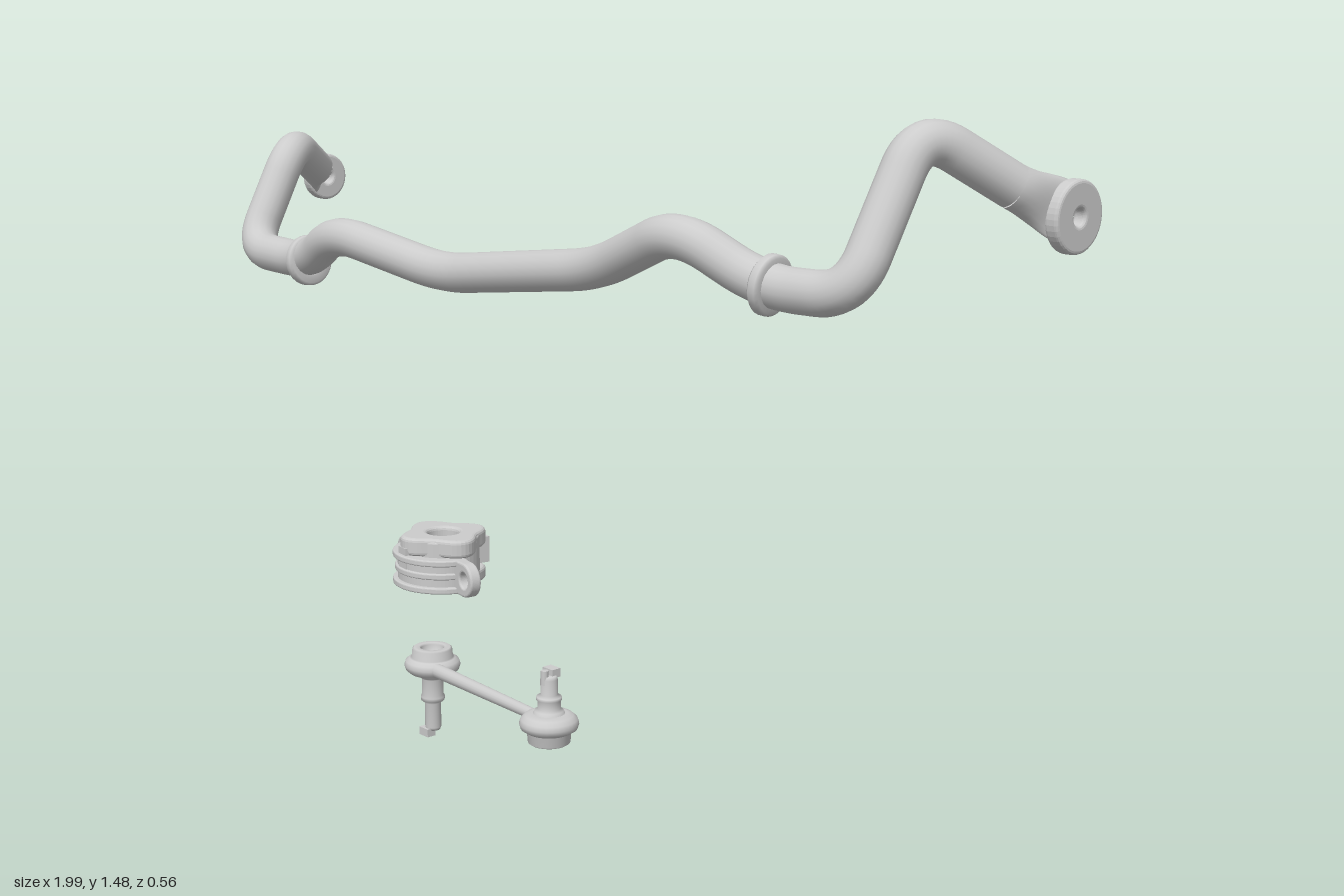
import * as THREE from 'three';

const material = new THREE.MeshStandardMaterial({ color: 0xcccccc, side: THREE.DoubleSide });
const V = (x, y, z) => new THREE.Vector3(x, y, z);

function add(parent, name, geometry, x = 0, y = 0, z = 0) {
  const mesh = new THREE.Mesh(geometry, material);
  mesh.name = name;
  mesh.position.set(x, y, z);
  parent.add(mesh);
  return mesh;
}

// Straight runs joined by rounded bends
function bentPath(points, bend) {
  const path = new THREE.CurvePath();
  let last = points[0];
  for (let i = 1; i < points.length - 1; i++) {
    const p = points[i], a = points[i - 1], b = points[i + 1];
    const start = p.clone().lerp(a, Math.min(0.45, bend / p.distanceTo(a)));
    const end = p.clone().lerp(b, Math.min(0.45, bend / p.distanceTo(b)));
    path.add(new THREE.LineCurve3(last, start));
    path.add(new THREE.QuadraticBezierCurve3(start, p, end));
    last = end;
  }
  path.add(new THREE.LineCurve3(last, points[points.length - 1]));
  return path;
}

// Round tube flattening into a blade that is thin along x
function flattenedNeck(from, to, radius, halfThick, halfWide) {
  const rings = 8, sides = 20, positions = [], index = [];
  const d = to.clone().sub(from).normalize(), xAxis = V(1, 0, 0);
  const n0 = xAxis.clone().addScaledVector(d, -d.x).normalize();
  for (let i = 0; i <= rings; i++) {
    const t = i / rings, s = t * t * (3 - 2 * t);
    const c = from.clone().lerp(to, t);
    const n = n0.clone().lerp(xAxis, s).normalize();
    const v = d.clone().cross(n).normalize();
    const a = THREE.MathUtils.lerp(radius, halfThick, s);
    const b = THREE.MathUtils.lerp(radius, halfWide, s);
    for (let j = 0; j < sides; j++) {
      const q = (j / sides) * Math.PI * 2;
      const p = c.clone().addScaledVector(n, a * Math.cos(q)).addScaledVector(v, b * Math.sin(q));
      positions.push(p.x, p.y, p.z);
      if (i < rings) {
        const k = i * sides, j2 = (j + 1) % sides;
        index.push(k + j, k + j2, k + sides + j, k + j2, k + sides + j2, k + sides + j);
      }
    }
  }
  const g = new THREE.BufferGeometry();
  g.setAttribute('position', new THREE.Float32BufferAttribute(positions, 3));
  g.setIndex(index);
  g.computeVertexNormals();
  return g;
}

function hole(shape, x, y, r) {
  shape.holes.push(new THREE.Path().absarc(x, y, r, 0, Math.PI * 2, true));
  return shape;
}

// Extrusion centred on its depth, with a small rounded edge
function slab(shape, depth, bevel) {
  const g = new THREE.ExtrudeGeometry(shape, {
    depth: depth - 2 * bevel, bevelEnabled: true, bevelThickness: bevel,
    bevelSize: bevel, bevelOffset: -bevel, bevelSegments: 3, curveSegments: 20,
  });
  return g.translate(0, 0, -(depth / 2 - bevel));
}

function swayBar() {
  const bar = new THREE.Group();
  bar.name = 'swayBar';
  const rightStart = V(-0.92, 1.251, -0.1), leftStart = V(0.935, 1.37, -0.1);
  const path = bentPath([
    rightStart, V(-0.77, 1.322, 0.06), V(-0.75, 1.12, 0.18), V(-0.55, 1.115, 0.18),
    V(-0.42, 1.19, 0.21), V(-0.13, 1.14, 0.175), V(0.31, 1.2, 0.195), V(0.54, 1.295, 0.235),
    V(0.69, 1.215, 0.19), V(0.865, 1.22, 0.185), V(0.867, 1.463, 0.045), leftStart,
  ], 0.07);
  add(bar, 'barTube', new THREE.TubeGeometry(path, 260, 0.036, 18, false));

  // Flat drilled ends
  const ends = [['right', rightStart, V(-0.985, 1.22, -0.168), 0.049], ['left', leftStart, V(0.981, 1.32, -0.193), 0.059]];
  for (const [side, start, centre, r] of ends) {
    const dir = centre.clone().sub(start).normalize();
    const tip = centre.clone().addScaledVector(dir, -0.022);
    add(bar, side + 'Neck', flattenedNeck(start, tip, 0.036, 0.008, r * 0.85));
    const disc = new THREE.Shape().absarc(0, 0, r, 0, Math.PI * 2);
    const g = slab(hole(disc, 0, 0, 0.014), 0.026, 0.006).rotateY(Math.PI / 2);
    add(bar, side + 'Eye', g, centre.x, centre.y, centre.z);
  }

  // Stop rings
  const rings = [['right', V(-0.552, 1.118, 0.18), V(1, 0.1, 0.03)], ['left', V(0.703, 1.22, 0.191), V(1, -0.1, -0.1)]];
  for (const [side, p, axis] of rings) {
    const profile = [[0.03, -0.011], [0.044, -0.011], [0.049, -0.006], [0.049, 0.006], [0.044, 0.011], [0.03, 0.011]];
    const g = new THREE.LatheGeometry(profile.map(q => new THREE.Vector2(...q)), 28);
    add(bar, side + 'StopRing', g, p.x, p.y, p.z)
      .quaternion.setFromUnitVectors(V(0, 1, 0), axis.normalize());
  }
  return bar;
}

function bushingClamp() {
  const clamp = new THREE.Group();
  clamp.name = 'bushingClamp';
  clamp.position.set(-0.135, 0.59, 0.182);
  clamp.rotation.y = -0.17;

  // Rubber bushing: bored core between two lobed collars
  const core = hole(new THREE.Shape().absarc(0, 0, 0.068, 0, Math.PI * 2), 0, 0, 0.033);
  add(clamp, 'bushingCore', slab(core, 0.09, 0.004).rotateX(Math.PI / 2), 0, 0.015, 0);
  const lobes = [];
  for (let i = 0; i < 64; i++) {
    const a = (i / 64) * Math.PI * 2, r = 0.076 + 0.01 * Math.cos(4 * a);
    lobes.push(new THREE.Vector2(r * Math.cos(a), r * Math.sin(a)));
  }
  for (const [name, y, h] of [['upperCollar', 0.048, 0.034], ['lowerCollar', -0.022, 0.026]]) {
    const g = slab(hole(new THREE.Shape(lobes), 0, 0, 0.03), h, 0.007);
    add(clamp, name, g.rotateX(Math.PI / 2), 0, y, 0);
  }
  // Locating keys, front and back
  for (const z of [-0.076, 0.072]) {
    add(clamp, 'bushingKey', new THREE.BoxGeometry(0.028, 0.05, 0.03), 0, 0.02, z);
  }

  // Strap around the front with raised rims
  const band = (outer, inner) => new THREE.Shape()
    .absarc(0, 0, outer, 0, Math.PI, false).absarc(0, 0, inner, Math.PI, 0, true);
  add(clamp, 'strap', slab(band(0.086, 0.068), 0.056, 0.003).rotateX(Math.PI / 2));
  for (const y of [-0.026, 0, 0.026]) {
    add(clamp, 'strapRim', slab(band(y ? 0.095 : 0.091, 0.07), 0.012, 0.003).rotateX(Math.PI / 2), 0, y, 0);
  }

  // Bolt flanges
  for (const s of [-1, 1]) {
    const ear = new THREE.Shape();
    ear.moveTo(0.07, -0.032);
    ear.lineTo(0.115, -0.032);
    ear.absarc(0.115, 0, 0.032, -Math.PI / 2, Math.PI / 2, false);
    ear.lineTo(0.07, 0.032);
    const g = slab(hole(ear, 0.117, 0, 0.015), 0.022, 0.004);
    if (s < 0) g.rotateZ(Math.PI);
    add(clamp, s < 0 ? 'rightFlange' : 'leftFlange', g, 0, 0, 0.012);
  }
  return clamp;
}

// Ball joint: socket cup points up, boot and stud point down
function ballJoint(name, cupHeight, studLength) {
  const joint = new THREE.Group();
  joint.name = name;
  const lathe = (part, pts) => add(joint, part,
    new THREE.LatheGeometry(pts.map(p => new THREE.Vector2(...p)), 32));
  lathe('socket', [
    [0, -0.022], [0.038, -0.022], [0.05, -0.018], [0.059, -0.01], [0.062, 0], [0.059, 0.01],
    [0.05, 0.016], [0.046, 0.018], [0.044, cupHeight - 0.003], [0.04, cupHeight],
    [0.028, cupHeight], [0.025, cupHeight - 0.004], [0.024, 0.02], [0.013, 0.018], [0.011, 0.026], [0, 0.028],
  ]);
  const e = -studLength;
  lathe('stud', [
    [0.034, -0.02], [0.03, -0.028], [0.024, -0.032], [0.024, e * 0.42], [0.027, e * 0.45],
    [0.026, e * 0.5], [0.018, e * 0.54], [0.018, e + 0.02], [0.015, e + 0.013], [0, e + 0.013],
  ]);
  add(joint, 'studTip', new THREE.BoxGeometry(0.03, 0.018, 0.022), -0.006, e + 0.009, 0.012);
  return joint;
}

function dropLink() {
  const link = new THREE.Group();
  link.name = 'dropLink';
  const lower = ballJoint('lowerJoint', 0.04, 0.165);
  lower.position.set(-0.694, 0.165, -0.22);
  const upper = ballJoint('upperJoint', 0.043, 0.115);
  upper.position.set(-0.235, 0.165, -0.165);
  upper.rotation.x = Math.PI;
  link.add(lower, upper);
  // Connecting rod, a little thicker at the lower joint
  const a = V(-0.67, 0.165, -0.199), b = V(-0.26, 0.165, -0.171);
  const rod = add(link, 'rod', new THREE.CylinderGeometry(0.012, 0.016, a.distanceTo(b), 16));
  rod.position.lerpVectors(a, b, 0.5);
  rod.quaternion.setFromUnitVectors(V(0, 1, 0), b.clone().sub(a).normalize());
  // Slim pin end on the upper stud
  add(link, 'upperPin', new THREE.CylinderGeometry(0.008, 0.008, 0.03, 12), -0.235, 0.265, -0.153);
  return link;
}

export function createModel() {
  const model = new THREE.Group();
  model.name = 'swayBarKit';
  model.add(swayBar(), bushingClamp(), dropLink());
  return model;
}
